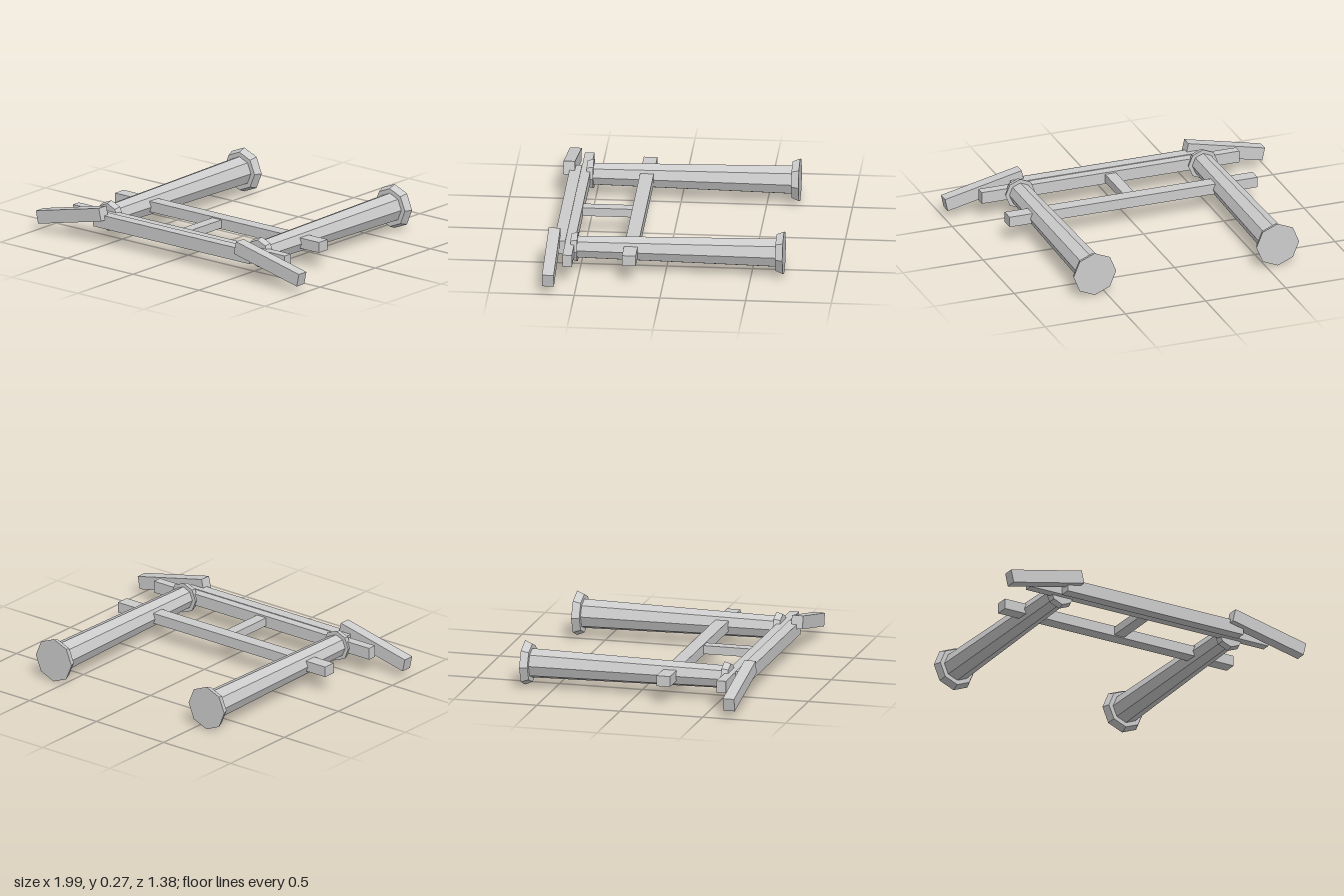
import * as THREE from 'three';

const CY = 0.134; // height of the common centre plane

export function createModel() {
  const group = new THREE.Group();
  group.name = 'gate';
  const stone = new THREE.MeshStandardMaterial({ color: 0xcccccc, flatShading: true });
  stone.name = 'grey stone';

  const add = (name, geometry, x, y, z) => {
    const mesh = new THREE.Mesh(geometry, stone);
    mesh.name = name;
    mesh.position.set(x, y, z);
    group.add(mesh);
    return mesh;
  };

  // Octagonal tapered section lying along z
  const section = (name, x, zBack, zFront, rBack, rFront) => {
    const geometry = new THREE.CylinderGeometry(rFront, rBack, zFront - zBack, 8);
    geometry.rotateX(Math.PI / 2);
    add(name, geometry, x, CY, (zBack + zFront) / 2);
  };

  // Box beam centred on x = 0, given its height and z range
  const beam = (name, width, height, z0, z1) =>
    add(name, new THREE.BoxGeometry(width, height, z1 - z0), 0, CY + 0.002, (z0 + z1) / 2);

  for (const [side, s] of [['left', 1], ['right', -1]]) {
    // Pillar with flared foot and collar
    section(side + 'Foot', s * 0.57, -0.689, -0.645, 0.133, 0.115);
    section(side + 'Pillar', s * 0.57, -0.645, 0.513, 0.0875, 0.068);
    section(side + 'Collar', s * 0.57, 0.513, 0.552, 0.092, 0.081);

    // Slanted roof end
    const roof = add(side + 'RoofEnd', new THREE.BoxGeometry(0.489, 0.078, 0.068),
      s * 0.75, CY + 0.002, 0.654);
    roof.rotation.z = -s * 0.22;
  }

  // Cross beams and the short strut between them
  beam('tieBeam', 1.546, 0.063, 0.16, 0.24);
  beam('centreStrut', 0.068, 0.05, 0.24, 0.53);
  beam('lintel', 1.606, 0.071, 0.53, 0.585);
  beam('topBeam', 1.186, 0.079, 0.585, 0.652);

  return group;
}
